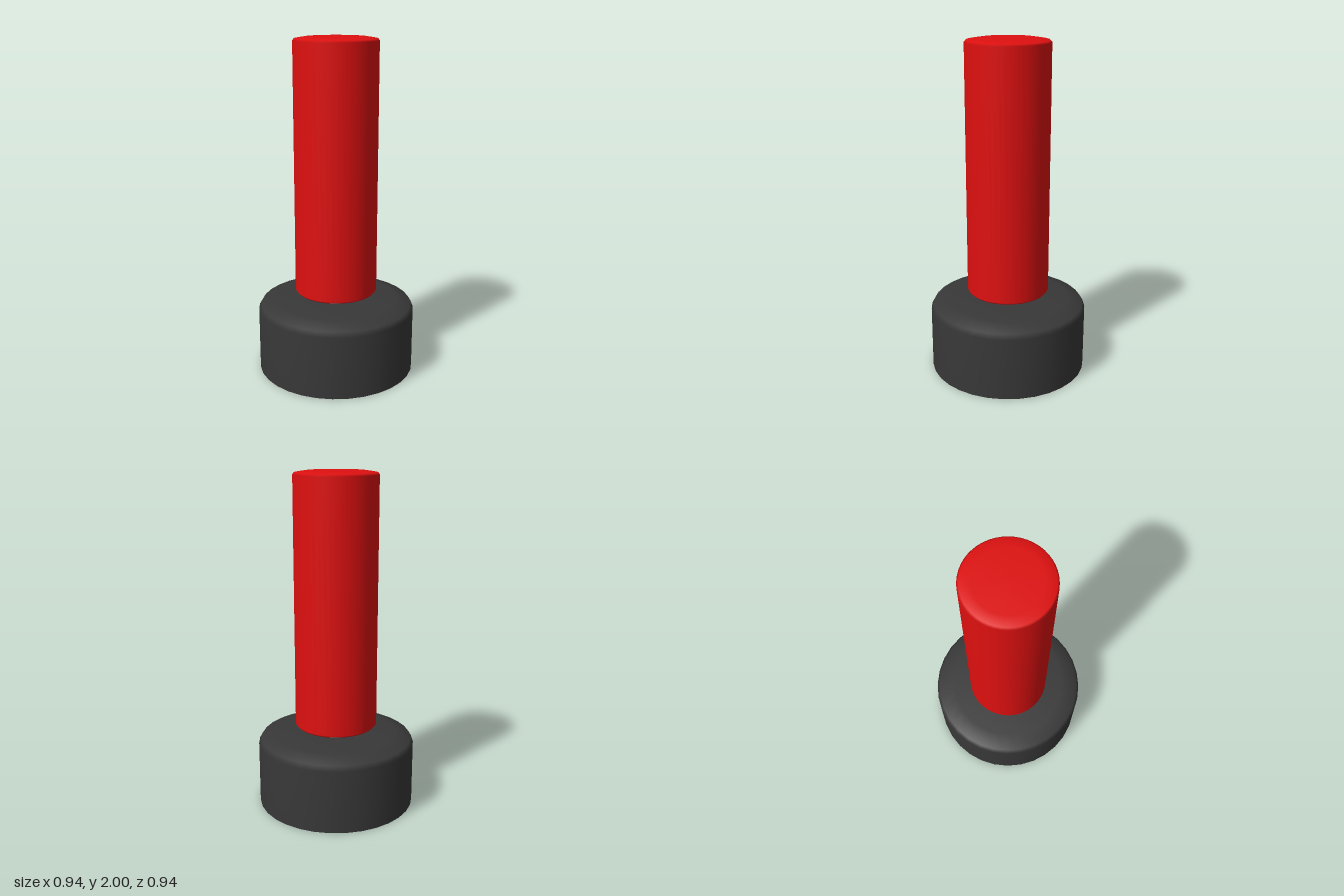
import * as THREE from 'three';

const red = new THREE.MeshStandardMaterial({ color: 0xdf1010 });
const black = new THREE.MeshStandardMaterial({ color: 0x383838 });

// Smooth solid of revolution from [radius, height] pairs, bottom to top
function turned(name, profile, segments, material) {
  const points = profile.map(([r, y]) => new THREE.Vector2(r, y));
  const mesh = new THREE.Mesh(new THREE.LatheGeometry(points, segments), material);
  mesh.name = name;
  return mesh;
}

export function createModel() {
  const model = new THREE.Group();
  model.name = 'freestandingPunchingBag';

  // Weighted base with a bevelled shoulder
  model.add(turned('base', [
    [0.472, 0], [0.472, 0.38], [0.455, 0.41], [0.36, 0.442], [0, 0.442],
  ], 32, black));

  // Flat underside, kept sharp against the wall
  const underside = new THREE.Mesh(new THREE.CircleGeometry(0.472, 32), black);
  underside.rotation.x = Math.PI / 2;
  underside.name = 'baseUnderside';
  model.add(underside);

  // Short neck between base and bag
  model.add(turned('neck', [
    [0.135, 0.435], [0.13, 0.445], [0.11, 0.462], [0.1, 0.475],
  ], 32, black));

  // Padded bag with softly rounded rims
  model.add(turned('bag', [
    [0, 0.464], [0.1, 0.464], [0.235, 0.488], [0.246, 0.5],
    [0.246, 1.98], [0.236, 1.991], [0.18, 2], [0, 2],
  ], 48, red));

  return model;
}
